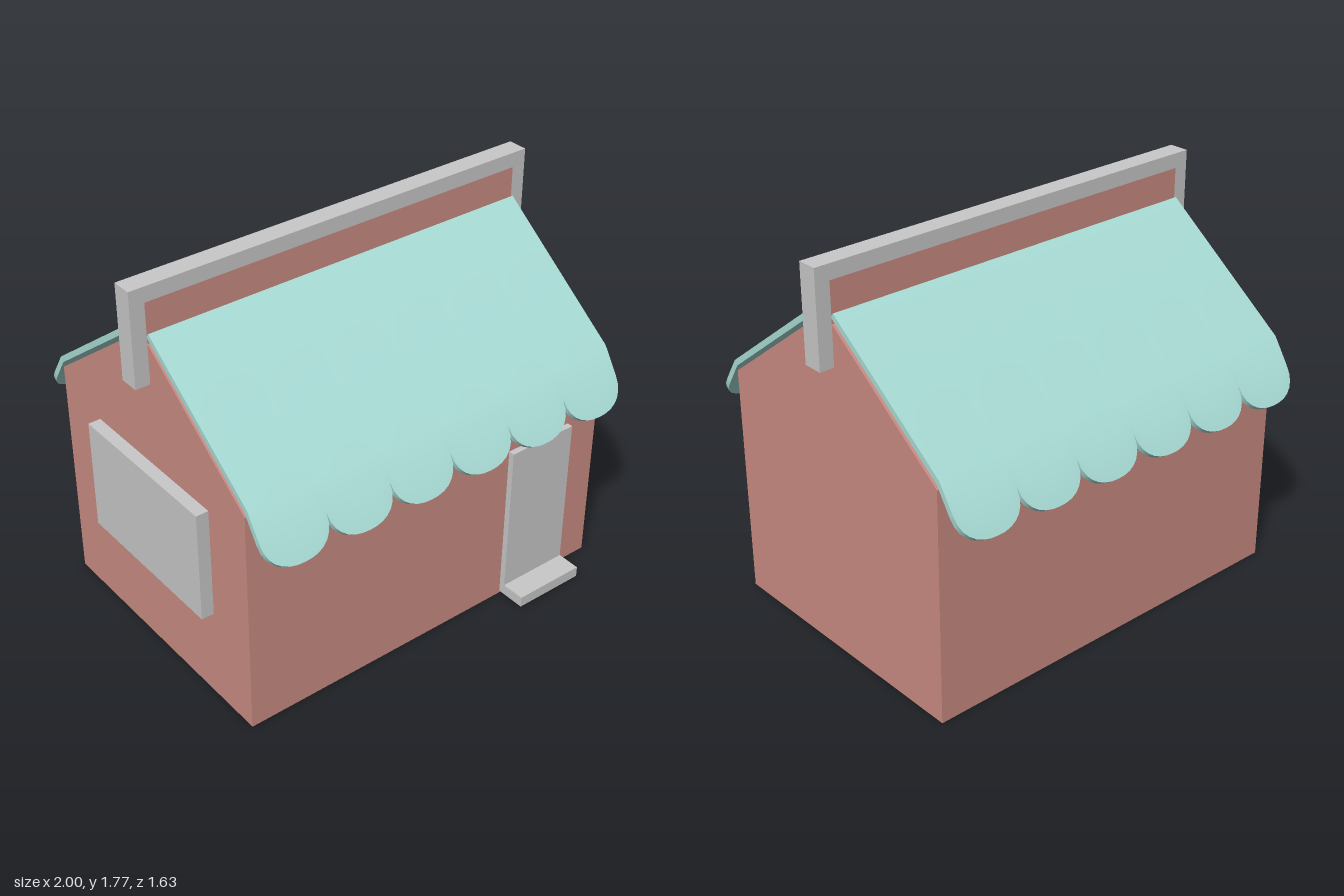
import * as THREE from 'three';
import { mergeGeometries } from 'three/addons/utils/BufferGeometryUtils.js';

const HALF = 0.933; // half length of walls and awning

// Surface through equal-length rows of points, smooth within itself
function sheet(rows) {
  const n = rows[0].length;
  const index = [];
  for (let i = 0; i < rows.length - 1; i++) {
    for (let j = 0; j < n - 1; j++) {
      const a = i * n + j, b = a + n;
      index.push(a, a + 1, b, b, a + 1, b + 1);
    }
  }
  const geo = new THREE.BufferGeometry().setFromPoints(rows.flat());
  geo.setIndex(index);
  geo.computeVertexNormals();
  return geo;
}

// Bent awning slab with a scalloped lower edge, sloping towards +z
function awningGeometry(scallops = 6, steps = 14) {
  const outer = [[1.568, 0.056], [1.108, 0.671], [0.883, 0.817]];
  const inner = [[1.548, 0.041], [1.088, 0.655], [0.869, 0.796]];
  const line = (p, x, t) => [
    new THREE.Vector3(x, ...p[0]),
    new THREE.Vector3(x, ...p[1]),
    new THREE.Vector3(x, ...p[1]).lerp(new THREE.Vector3(x, ...p[2]), t),
  ];
  const w = HALF / scallops;
  const top = [], under = [];
  for (let s = 0; s < scallops; s++) {
    for (let k = s ? 1 : 0; k <= steps; k++) {
      const c = -Math.cos(Math.PI * k / steps);
      const x = -HALF + w * (2 * s + 1 + c);
      const drop = Math.pow(Math.max(0, 1 - Math.pow(Math.abs(c), 2.3)), 1 / 2.3);
      top.push(line(outer, x, 0.5 + 0.5 * drop));
      under.push(line(inner, x, 0.5 + 0.5 * drop));
    }
  }
  const last = top.length - 1;
  const column = (rows, j) => rows.map((r) => r[j]);
  return mergeGeometries([
    sheet(top),
    sheet([...under].reverse()),
    sheet([top[last], under[last]]),
    sheet([under[0], top[0]]),
    sheet([column(top, 0), column(under, 0)]),
    sheet([column(under, 2), column(top, 2)]),
  ]);
}

export function createModel() {
  const model = new THREE.Group();
  model.name = 'shop';
  const material = (name, color) => {
    const m = new THREE.MeshStandardMaterial({ color });
    m.name = name;
    return m;
  };
  const red = material('wall red', 0xca8c83);
  const grey = material('trim grey', 0xc8c8c8);
  const teal = material('awning teal', 0xa9dcd6);

  const add = (name, geo, mat) => {
    const mesh = new THREE.Mesh(geo, mat);
    mesh.name = name;
    model.add(mesh);
    return mesh;
  };
  // Box given by its limits on each axis
  const box = (name, [x0, x1], [y0, y1], [z0, z1], mat) =>
    add(name, new THREE.BoxGeometry(x1 - x0, y1 - y0, z1 - z0), mat)
      .position.set((x0 + x1) / 2, (y0 + y1) / 2, (z0 + z1) / 2);

  // Gabled house with an upright sign wall along the ridge
  const half = [[0.655, 0], [0.655, 1.065], [0.046, 1.52], [0.046, 1.7]];
  const profile = [...half, ...half.map(([z, y]) => [-z, y]).reverse()];
  const shape = new THREE.Shape(profile.map(([z, y]) => new THREE.Vector2(z, y)));
  const walls = new THREE.ExtrudeGeometry(shape, { depth: 2 * HALF, bevelEnabled: false });
  walls.translate(0, 0, -HALF).rotateY(Math.PI / 2);
  add('walls', walls, red);

  // Frame around the sign wall
  const depth = [-0.046, 0.046];
  box('signFrameTop', [-1, 1], [1.7, 1.768], depth, grey);
  box('signFrameLeft', [HALF, 1], [1.338, 1.7], depth, grey);
  box('signFrameRight', [-1, -HALF], [1.338, 1.7], depth, grey);

  // Awnings on both slopes
  const awning = awningGeometry();
  add('frontAwning', awning, teal);
  add('backAwning', awning, teal).rotation.y = Math.PI;

  // Door, step and side window
  box('door', [0.418, 0.76], [0.06, 0.77], [0.65, 0.683], grey);
  box('doorStep', [0.418, 0.76], [0.01, 0.06], [0.65, 0.793], grey);
  box('sideWindow', [-0.99, -0.93], [0.432, 0.948], [-0.38, 0.41], grey);

  return model;
}
